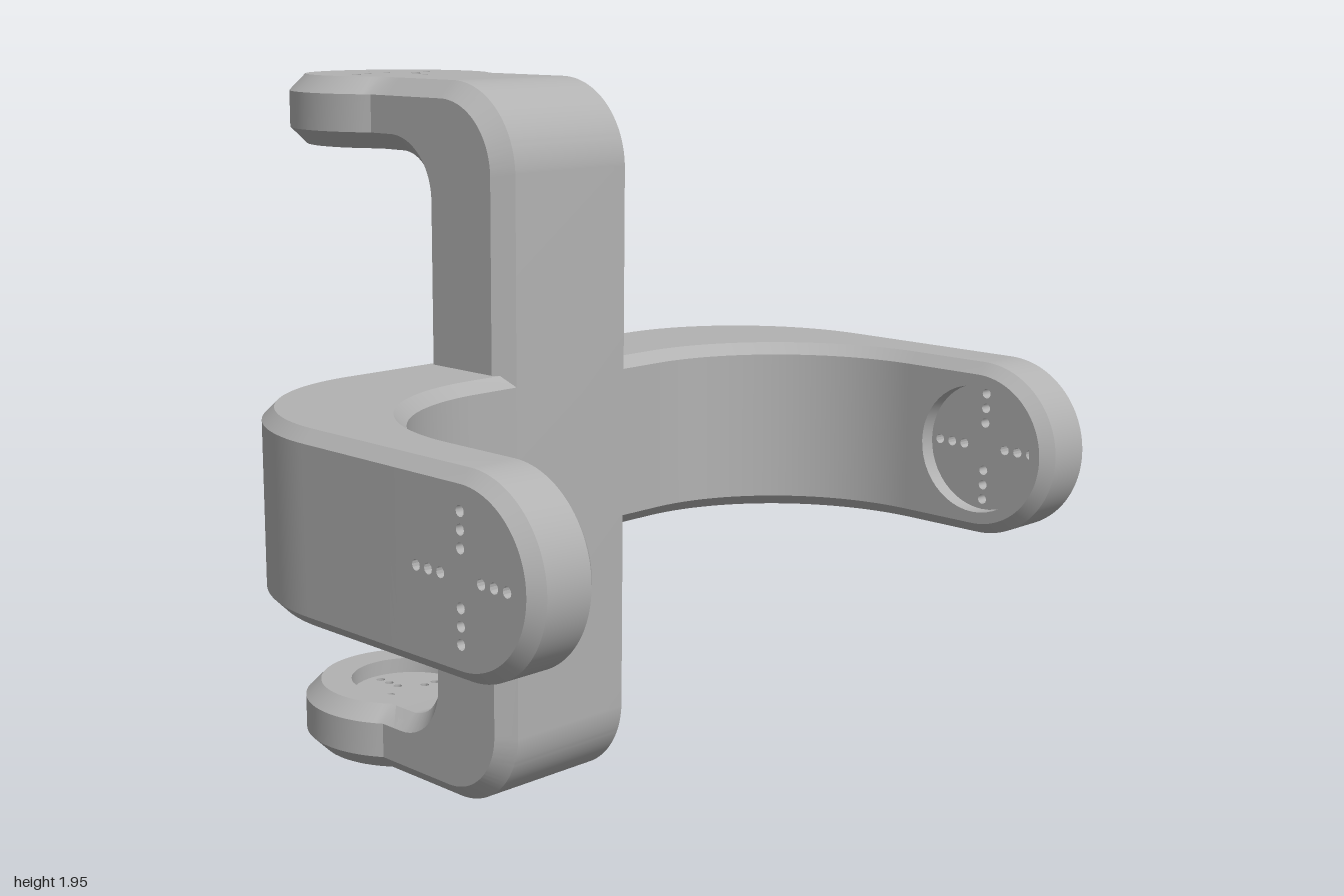
import * as THREE from 'three';
import { mergeGeometries, toCreasedNormals } from 'three/addons/utils/BufferGeometryUtils.js';

const MID_Y = 0.977;

// Side walls between rings of equal point count; rings listed downwards face inward
function skin(rings) {
  const pos = [];
  for (let k = 0; k + 1 < rings.length; k++) {
    const { pts: p, z: z0 } = rings[k], { pts: q, z: z1 } = rings[k + 1];
    for (let i = 0; i < p.length; i++) {
      const j = (i + 1) % p.length;
      pos.push(p[i].x, p[i].y, z0, p[j].x, p[j].y, z0, q[j].x, q[j].y, z1);
      pos.push(p[i].x, p[i].y, z0, q[j].x, q[j].y, z1, q[i].x, q[i].y, z1);
    }
  }
  const g = new THREE.BufferGeometry();
  g.setAttribute('position', new THREE.Float32BufferAttribute(pos, 3));
  return g;
}

function circle(x, y, r, n) {
  return Array.from({ length: n }, (_, i) => {
    const a = (i / n) * Math.PI * 2;
    return new THREE.Vector2(x + r * Math.cos(a), y + r * Math.sin(a));
  });
}

// Flat face with holes, looking along +z or -z
function face(outline, holes, z, dir) {
  const shape = new THREE.Shape(outline);
  shape.holes = holes.map((h) => new THREE.Path(h));
  const g = new THREE.ShapeGeometry(shape).toNonIndexed();
  if (dir < 0) g.rotateX(Math.PI); // every outline is symmetric in y
  g.translate(0, 0, z);
  g.deleteAttribute('uv');
  g.deleteAttribute('normal');
  return g;
}

// Round pad end joined to a straight neck, tip towards +x
function padOutline(r, halfWidth, neck) {
  const end = Math.PI - Math.asin(Math.min(1, halfWidth / r)), n = 56;
  const pts = [];
  for (let i = 0; i <= n; i++) {
    const a = -end + (2 * end * i) / n;
    pts.push(new THREE.Vector2(r * Math.cos(a), r * Math.sin(a)));
  }
  pts.push(new THREE.Vector2(-neck, halfWidth), new THREE.Vector2(-neck, -halfWidth));
  return pts;
}

// Chamfered pad with a round pocket on its inner face and a cross of through holes
function padGeometry({ r, halfWidth, neck, t, c, rowShift, pocketR, pocketDepth }) {
  const full = padOutline(r, halfWidth, neck);
  const inset = padOutline(r - c, halfWidth - c, neck);
  const pocket = circle(rowShift * 0.6, 0, pocketR, 48);
  const holes = [];
  for (const s of [-1, 1]) {
    for (const d of [0.065, 0.105, 0.145]) {
      holes.push(circle(rowShift + s * d, 0, 0.013, 12), circle(0, s * d, 0.013, 12));
    }
  }
  const parts = [
    skin([{ pts: inset, z: 0 }, { pts: full, z: c }, { pts: full, z: t - c }, { pts: inset, z: t }]),
    face(inset, holes, t, 1),
    face(inset, [pocket], 0, -1),
    face(pocket, holes, pocketDepth, -1),
    skin([{ pts: pocket, z: pocketDepth }, { pts: pocket, z: 0 }]),
    ...holes.map((h) => skin([{ pts: h, z: t }, { pts: h, z: pocketDepth }])),
  ];
  return toCreasedNormals(mergeGeometries(parts), 0.6);
}

// Chamfered U bracket opening towards +x
function bracketGeometry({ end, back, inner, H, t, Ro, Ri, halfWidth, c }) {
  const P = Math.PI, s = new THREE.Shape();
  s.moveTo(end, H);
  s.lineTo(back + Ro, H);
  s.absarc(back + Ro, H - Ro, Ro, P / 2, P, false);
  s.absarc(back + Ro, Ro - H, Ro, P, 1.5 * P, false);
  s.lineTo(end, -H);
  s.lineTo(end, t - H);
  s.absarc(inner + Ri, t - H + Ri, Ri, 1.5 * P, P, true);
  s.absarc(inner + Ri, H - t - Ri, Ri, P, P / 2, true);
  s.lineTo(end, H - t);
  const depth = 2 * (halfWidth - c);
  const g = new THREE.ExtrudeGeometry(s, {
    depth, curveSegments: 20, bevelEnabled: true, bevelSegments: 1,
    bevelThickness: c, bevelSize: c, bevelOffset: -c,
  });
  g.translate(0, 0, -depth / 2);
  return toCreasedNormals(g, 0.6);
}

export function createModel() {
  const group = new THREE.Group();
  const grey = new THREE.MeshStandardMaterial({ color: 0xb2b2b2 });
  grey.name = 'plain grey';

  const add = (name, geometry) => {
    const mesh = new THREE.Mesh(geometry, grey);
    mesh.name = name;
    group.add(mesh);
    return mesh;
  };

  // Upright bracket, opening to -x
  const upright = add('uprightBracket', bracketGeometry({
    end: 0.485, back: -0.03, inner: 0.29, H: 0.975, t: 0.19, Ro: 0.235, Ri: 0.12, halfWidth: 0.24, c: 0.045,
  }));
  upright.rotation.y = Math.PI;
  upright.position.y = 0.975;

  // Level bracket, opening to +x
  const level = add('levelBracket', bracketGeometry({
    end: 0.55, back: -0.29, inner: 0.03, H: 1, t: 0.185, Ro: 0.49, Ri: 0.485, halfWidth: 0.233, c: 0.03,
  }));
  level.rotation.x = Math.PI / 2;
  level.position.y = MID_Y;

  // Pads: local x points to the tip, local z to the outer face
  const uprightPad = padGeometry({
    r: 0.3, halfWidth: 0.24, neck: 0.25, t: 0.19, c: 0.045, rowShift: -0.017, pocketR: 0.172, pocketDepth: 0.045,
  });
  const levelPad = padGeometry({
    r: 0.233, halfWidth: 0.233, neck: 0.235, t: 0.185, c: 0.03, rowShift: 0, pocketR: 0.172, pocketDepth: 0.045,
  });
  const place = (name, geometry, tip, outer, position) => {
    const mesh = add(name, geometry);
    const side = new THREE.Vector3().crossVectors(outer, tip);
    mesh.quaternion.setFromRotationMatrix(new THREE.Matrix4().makeBasis(tip, side, outer));
    mesh.position.copy(position);
  };
  const V = (x, y, z) => new THREE.Vector3(x, y, z);
  for (const s of [1, -1]) {
    place(s > 0 ? 'topPad' : 'bottomPad', uprightPad, V(-1, 0, 0), V(0, s, 0), V(-0.67, 0.975 + s * 0.785, 0));
    place(s > 0 ? 'frontPad' : 'backPad', levelPad, V(1, 0, 0), V(0, 0, s), V(0.737, MID_Y, s * 0.815));
  }
  return group;
}
